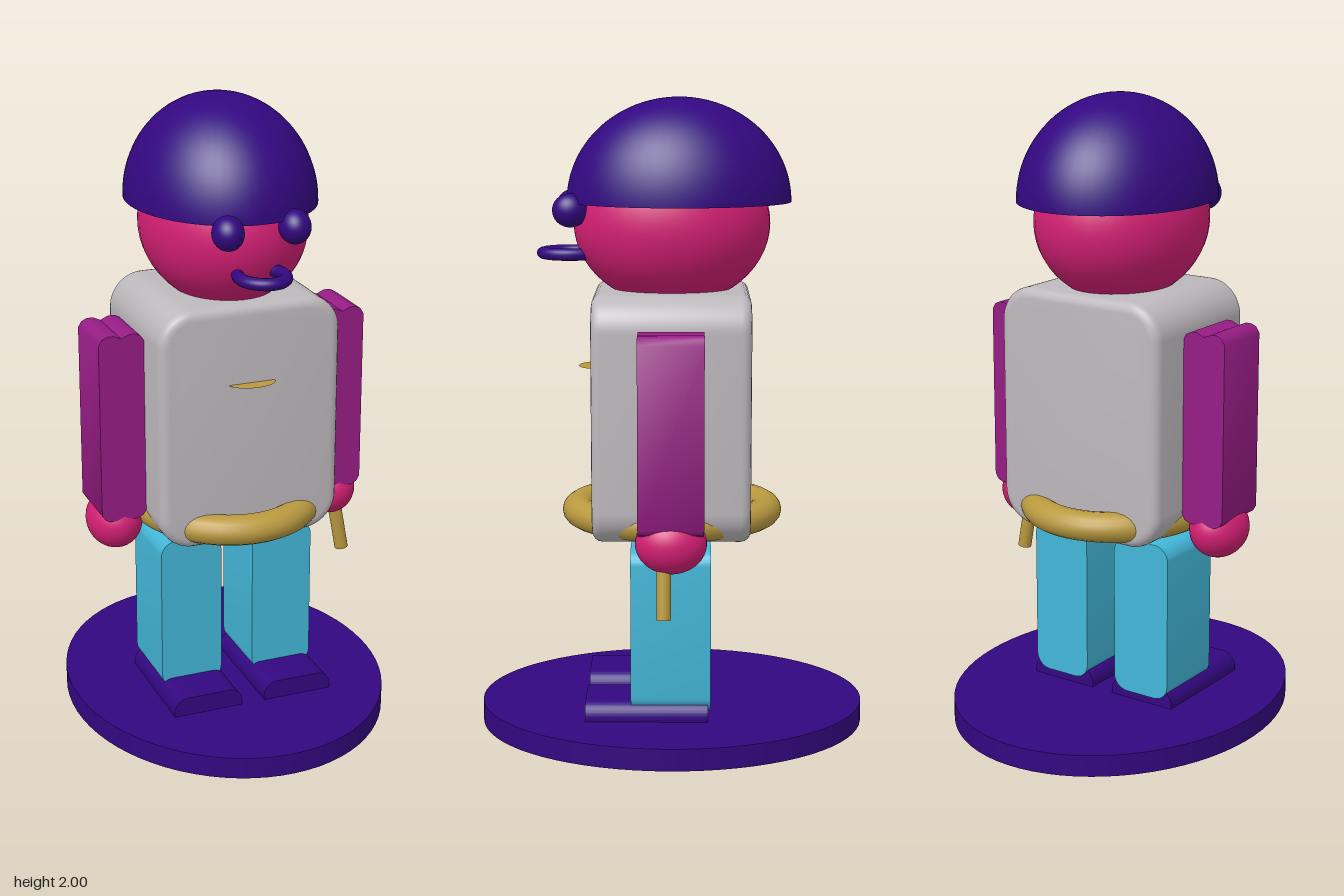
import * as THREE from 'three';
import { toCreasedNormals } from 'three/addons/utils/BufferGeometryUtils.js';

const mat = (name, color, side = THREE.FrontSide) => {
  const m = new THREE.MeshStandardMaterial({ color, side });
  m.name = name;
  return m;
};

// Rounded rectangle outline in the xy plane
function roundedRect(w, y0, y1, r) {
  const s = new THREE.Shape();
  const x = w / 2;
  s.moveTo(-x + r, y0);
  s.lineTo(x - r, y0);
  s.absarc(x - r, y0 + r, r, -Math.PI / 2, 0);
  s.lineTo(x, y1 - r);
  s.absarc(x - r, y1 - r, r, 0, Math.PI / 2);
  s.lineTo(-x + r, y1);
  s.absarc(-x + r, y1 - r, r, Math.PI / 2, Math.PI);
  s.lineTo(-x, y0 + r);
  s.absarc(-x + r, y0 + r, r, Math.PI, Math.PI * 1.5);
  return s;
}

// Extrude a shape from z0 to z1 with an optional rounded edge that stays inside the outline
function slab(shape, z0, z1, bevel = 0) {
  const g = new THREE.ExtrudeGeometry(shape, {
    depth: z1 - z0 - 2 * bevel, curveSegments: 8, bevelEnabled: bevel > 0,
    bevelSize: bevel, bevelThickness: bevel, bevelOffset: -bevel, bevelSegments: 4,
  });
  g.translate(0, 0, z0 + bevel);
  return toCreasedNormals(g, 0.6);
}

export function createModel() {
  const root = new THREE.Group();
  const indigo = mat('indigo', 0x330780, THREE.DoubleSide);
  const pink = mat('pink', 0xd41f74);
  const magenta = mat('magenta', 0x961c84);
  const blue = mat('sky blue', 0x43b7d8);
  const grey = mat('pale grey', 0xbdb8bc);
  const gold = mat('gold', 0xba9a40, THREE.DoubleSide);

  const add = (name, geo, material, x = 0, y = 0, z = 0) => {
    const m = new THREE.Mesh(geo, material);
    m.name = name;
    m.position.set(x, y, z);
    root.add(m);
    return m;
  };
  const ball = (name, material, r, sy, sz, x, y, z) => {
    const m = add(name, new THREE.SphereGeometry(r, 40, 28), material, x, y, z);
    m.scale.set(1, sy, sz);
    return m;
  };

  // Oval stand
  add('base', new THREE.CylinderGeometry(0.511, 0.511, 0.07, 72), indigo, 0, 0.035).scale.z = 1.2;

  // Torso with an oval belt that sinks into its sides
  add('torso', slab(roundedRect(0.592, 0.635, 1.407, 0.11), -0.245, 0.245, 0.03), grey);
  const belt = new THREE.TorusGeometry(0.265, 0.047, 16, 72);
  belt.rotateX(Math.PI / 2);
  add('belt', belt, gold, 0, 0.697, 0).scale.z = 1.122;

  // Thin half-round plate standing out from the chest
  const plate = new THREE.CircleGeometry(0.075, 24, Math.PI, Math.PI);
  plate.rotateX(-Math.PI / 2);
  add('chestPlate', plate, gold, 0, 1.16, 0.244).scale.z = 0.67;

  // Head
  ball('head', pink, 0.256, 1, 1.2, 0, 1.61, 0);

  // Open domed helmet
  const dome = new THREE.SphereGeometry(0.292, 56, 24, 0, Math.PI * 2, 0, Math.PI / 2);
  add('helmet', dome, indigo, 0, 1.677, -0.022).scale.set(1, 1.106, 1.2);

  // Ring mouth
  const ring = new THREE.TorusGeometry(0.07, 0.019, 12, 48);
  ring.rotateX(Math.PI / 2);
  add('mouth', ring, indigo, 0, 1.517, 0.317).scale.z = 1.2;

  // Arm outline with a shallow groove along the top and bottom
  const quarter = [[0, 0.293], [0.025, 0.304], [0.045, 0.304], [0.062, 0.296], [0.073, 0.278]];
  const outline = [
    ...quarter,
    ...quarter.slice().reverse().map(([x, y]) => [x, -y]),
    ...quarter.slice(1).map(([x, y]) => [-x, -y]),
    ...quarter.slice(1).reverse().map(([x, y]) => [-x, y]),
  ];
  const armShape = new THREE.Shape(outline.map(([x, y]) => new THREE.Vector2(x, y)));
  const armGeo = slab(armShape, -0.1, 0.1);
  const legGeo = slab(roundedRect(0.204, 0.096, 0.614, 0.05), -0.123, 0.127);
  const footGeo = slab(roundedRect(0.232, 0.035, 0.13, 0.047), -0.115, 0.27);

  // Paired parts
  for (const [side, s] of [['left', 1], ['right', -1]]) {
    ball(side + 'Eye', indigo, 0.048, 1.09, 1.15, s * 0.106, 1.657, 0.312);
    add(side + 'Arm', armGeo, magenta, s * 0.368, 1.007, 0);
    ball(side + 'Hand', pink, 0.088, 1.06, 1.24, s * 0.37, 0.672, 0);
    add(side + 'Leg', legGeo, blue, s * 0.156, 0, 0);
    add(side + 'Foot', footGeo, indigo, s * 0.154, 0, 0);
  }

  // Stick held in the left hand
  const stick = add('stick', new THREE.CylinderGeometry(0.022, 0.022, 0.28, 20), gold, 0.394, 0.583, 0.022);
  stick.rotation.z = 0.18;

  return root;
}
